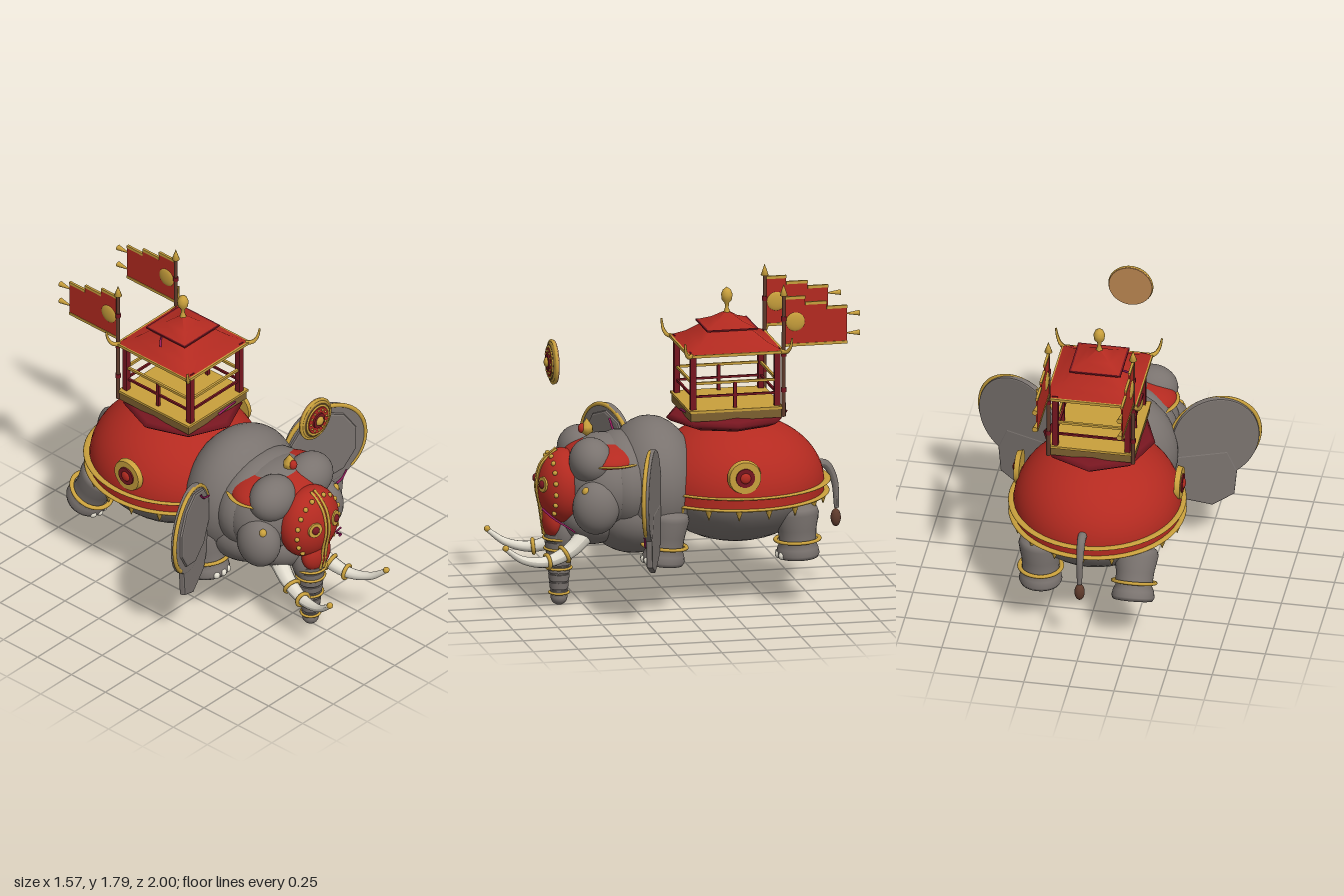
import * as THREE from 'three';

const mat = (name, color, side = THREE.FrontSide) =>
  Object.assign(new THREE.MeshStandardMaterial({ color, side }), { name });
const HIDE = mat('grey hide', 0x7a736f), DARK = mat('dark hide', 0x5a5552);
const RED = mat('red cloth', 0xb42a20, THREE.DoubleSide), MAROON = mat('maroon lacquer', 0x771620);
const GOLD = mat('gold', 0xc9a03c), IVORY = mat('ivory', 0xe2ddcf), TAN = mat('tan leather', 0xb98550);
const BROWN = mat('brown wood', 0x5f3b2c), BASE = mat('bronze wood', 0x7d6030), VINE = mat('magenta vine', 0x981c60);

const V = (x, y, z) => new THREE.Vector3(x, y, z);
function add(parent, name, geo, material, pos = [0, 0, 0], scale = [1, 1, 1], rot = [0, 0, 0]) {
  const m = new THREE.Mesh(geo, material);
  m.name = name;
  m.position.set(...pos); m.scale.set(...scale); m.rotation.set(...rot);
  parent.add(m);
  return m;
}
function group(parent, name, pos = [0, 0, 0], rot = [0, 0, 0]) {
  const g = new THREE.Group();
  g.name = name;
  g.position.set(...pos); g.rotation.set(...rot);
  parent.add(g);
  return g;
}
const BALL = new THREE.SphereGeometry(1, 32, 20), BEAD = new THREE.SphereGeometry(1, 10, 8);
const ball = (p, n, m, pos, r) => add(p, n, BALL, m, pos, r);
const bead = (p, n, m, pos, r) => add(p, n, BEAD, m, pos, [r, r, r]);
const box = (p, n, m, pos, size) => add(p, n, new THREE.BoxGeometry(...size), m, pos);
const cyl = (p, n, m, pos, r0, r1, h, seg = 24, rot) => add(p, n, new THREE.CylinderGeometry(r0, r1, h, seg), m, pos, undefined, rot);
const lathe = (pts, seg = 28, start = 0) => new THREE.LatheGeometry(pts.map(p => new THREE.Vector2(...p)), seg, start);
// horizontal elliptical ring; flat squashes it vertically
const hoop = (p, n, m, pos, rx, rz, t, flat = 1) => add(p, n, new THREE.TorusGeometry(1, t / rx, 8, 64), m, pos, [rx, rz, rx * flat], [Math.PI / 2, 0, 0]);

// tube whose radius runs from r0 to r1
function taper(points, r0, r1, seg = 24, rad = 12) {
  const curve = new THREE.CatmullRomCurve3(points.map(p => V(...p)));
  const geo = new THREE.TubeGeometry(curve, seg, 1, rad), pos = geo.attributes.position, v = V(0, 0, 0);
  for (let i = 0; i < pos.count; i++) {
    const t = Math.floor(i / (rad + 1)) / seg, c = curve.getPointAt(t);
    v.fromBufferAttribute(pos, i).sub(c).multiplyScalar(r0 + (r1 - r0) * t).add(c);
    pos.setXYZ(i, v.x, v.y, v.z);
  }
  geo.computeVertexNormals();
  return { geo, curve };
}

function buildBody(root) {
  const g = group(root, 'body');
  ball(g, 'belly', HIDE, [0, 0.66, -0.36], [0.45, 0.34, 0.475]);
  ball(g, 'shoulders', HIDE, [0, 0.66, 0.12], [0.36, 0.37, 0.26]);
  ball(g, 'chest', HIDE, [0, 0.51, 0.22], [0.3, 0.23, 0.26]);
  // red cover with flat hems, hanging points and side medallions
  add(g, 'cover', new THREE.SphereGeometry(1, 48, 18, 0, Math.PI * 2, 0, Math.PI / 2), RED, [0, 0.64, -0.36], [0.46, 0.37, 0.485]);
  add(g, 'coverSkirt', new THREE.CylinderGeometry(1, 1, 0.07, 48, 1, true), RED, [0, 0.615, -0.36], [0.462, 1, 0.483]);
  hoop(g, 'upperHem', GOLD, [0, 0.653, -0.37], 0.467, 0.49, 0.02, 0.3);
  hoop(g, 'lowerHem', GOLD, [0, 0.588, -0.365], 0.467, 0.488, 0.02, 0.4);
  for (let i = 0; i < 18; i++) {
    const a = (i + 0.5) / 18 * Math.PI * 2;
    if (Math.sin(a) < 0.8) cyl(g, 'hemPoint', GOLD, [0.463 * Math.cos(a), 0.557, -0.36 + 0.482 * Math.sin(a)], 0.021, 0.002, 0.055, 8);
  }
  for (const s of [1, -1]) {
    const m = group(g, 'medallion', [s * 0.445, 0.77, -0.31], [0, 0, -s * Math.PI / 2]);
    cyl(m, 'medallionDisc', GOLD, [0, 0, 0], 0.088, 0.095, 0.03, 32);
    cyl(m, 'medallionRing', MAROON, [0, 0.01, 0], 0.052, 0.055, 0.025, 24);
    ball(m, 'medallionBoss', RED, [0, 0.02, 0], [0.03, 0.015, 0.03]);
  }
  const tail = taper([[0, 0.71, -0.8], [0, 0.71, -0.86], [0, 0.62, -0.91], [0, 0.46, -0.925]], 0.026, 0.014);
  add(g, 'tail', tail.geo, HIDE);
  ball(g, 'tailTuft', BROWN, [0, 0.405, -0.92], [0.028, 0.05, 0.028]);
}

function buildLeg(root, name, x, y, z, tilt) {
  const g = group(root, name, [x, y, z], [tilt, 0, 0]);
  add(g, 'legColumn', lathe([[0, -0.28], [0.11, -0.28], [0.119, -0.26], [0.112, -0.225], [0.1, -0.2], [0.106, -0.12], [0.122, -0.03], [0.112, 0.0], [0.08, 0.02], [0, 0.04]]), HIDE);
  hoop(g, 'anklet', GOLD, [0, -0.18, 0], 0.115, 0.12, 0.013, 0.75);
  for (let i = -1; i <= 1; i++) {
    const a = i * 0.42;
    bead(g, 'toenail', IVORY, [0.106 * Math.sin(a), -0.26, 0.106 * Math.cos(a)], 0.022);
  }
}

function buildEar(side) {
  // plate runs outward and slightly forward from the head
  const g = group(side, 'ear', [0.325, 0, 0.14], [0, -0.36, 0]);
  const disc = new THREE.Shape().absellipse(0.24, 0.72, 0.235, 0.25, 0, Math.PI * 2);
  const lobe = new THREE.Shape([[-0.02, 0.62], [0.0, 0.5], [0.07, 0.35], [0.22, 0.295], [0.335, 0.35], [0.35, 0.5], [0.3, 0.62]].map(p => new THREE.Vector2(...p)));
  const panel = new THREE.Shape();
  for (let i = 0; i < 10; i++) {
    const a = (i + 0.5) / 10 * Math.PI * 2;
    panel[i ? 'lineTo' : 'moveTo'](0.225 + 0.2 * Math.cos(a), 0.72 + 0.21 * Math.sin(a));
  }
  const ext = (s, depth, b) => new THREE.ExtrudeGeometry(s, { depth, bevelEnabled: true, bevelSize: b, bevelThickness: b, bevelSegments: 2, curveSegments: 40 });
  add(g, 'earDisc', ext(disc, 0.02, 0.008), HIDE);
  add(g, 'earLobe', ext(lobe, 0.016, 0.01), HIDE);
  add(g, 'earPanel', ext(panel, 0.012, 0.012), HIDE, [0, 0, 0.018]);
  add(g, 'earRim', new THREE.TorusGeometry(0.242, 0.012, 8, 60, 3.7), GOLD, [0.24, 0.72, 0.02], [1, 1.05, 1], [0, 0, -0.85]);
}

function buildHead(root) {
  const g = group(root, 'head');
  ball(g, 'skull', HIDE, [0, 0.68, 0.38], [0.32, 0.27, 0.25]);
  ball(g, 'neck', HIDE, [0, 0.68, 0.29], [0.33, 0.28, 0.2]);
  ball(g, 'jaw', HIDE, [0, 0.5, 0.45], [0.23, 0.16, 0.19]);
  // red cap on the crown, with a gold hem
  add(g, 'cap', new THREE.SphereGeometry(1, 40, 12, 0, Math.PI * 2, 0, Math.PI / 2), RED, [0, 0.82, 0.39], [0.305, 0.115, 0.215]);
  hoop(g, 'capHem', GOLD, [0, 0.83, 0.38], 0.308, 0.225, 0.014, 0.4);
  // face mask and trunk flap
  ball(g, 'mask', RED, [0, 0.67, 0.615], [0.192, 0.21, 0.14]);
  ball(g, 'trunkFlap', RED, [0, 0.485, 0.67], [0.1, 0.105, 0.06]);
  for (const s of [1, -1]) {
    const stripe = taper([[s * 0.013, 0.88, 0.645], [s * 0.013, 0.8, 0.73], [s * 0.013, 0.68, 0.758], [s * 0.013, 0.56, 0.738], [s * 0.013, 0.4, 0.715]], 0.008, 0.008);
    add(g, 'maskStripe', stripe.geo, GOLD);
    for (let i = 0; i < 7; i++) {
      const a = -0.75 + i * 0.34;
      bead(g, 'maskBead', GOLD, [s * 0.168 * Math.cos(a), 0.67 + 0.184 * Math.sin(a), 0.683], 0.014);
    }
    const eye = group(g, 'eye', [s * 0.08, 0.7, 0.735], [Math.PI / 2 - 0.1, 0, -s * 0.3]);
    cyl(eye, 'eyePlate', GOLD, [0, 0, 0], 0.042, 0.046, 0.018);
    ball(eye, 'eyeGem', MAROON, [0, 0.009, 0], [0.023, 0.016, 0.023]);
  }
  // crown jewel
  add(g, 'crownJewel', lathe([[0, 0.94], [0.035, 0.965], [0.034, 0.995], [0.012, 1.025], [0, 1.045]], 12), GOLD, [0, 0, 0.475]);
  ball(g, 'crownGem', RED, [0, 0.985, 0.5], [0.024, 0.028, 0.024]);

  // ringed trunk
  const trunk = group(g, 'trunk', [0, 0, 0.63]);
  ball(trunk, 'trunkRoot', HIDE, [0, 0.42, -0.02], [0.1, 0.14, 0.08]);
  for (let i = 0; i < 8; i++) {
    const y = 0.065 + i * 0.046, r = 0.045 + i * 0.005;
    cyl(trunk, 'trunkRing', HIDE, [0, y, 0], r + 0.004, r, 0.037);
    cyl(trunk, 'trunkGroove', DARK, [0, y + 0.023, 0], r - 0.004, r - 0.004, 0.02);
  }
  ball(trunk, 'trunkTip', HIDE, [0, 0.045, 0], [0.046, 0.045, 0.046]);
  for (const [y, r] of [[0.07, 0.051], [0.21, 0.066], [0.32, 0.077], [0.38, 0.084]]) hoop(trunk, 'trunkBand', GOLD, [0, y, 0], r, r, 0.009, 0.8);

  // paired parts, mirrored
  for (const s of [1, -1]) {
    const side = group(g, s > 0 ? 'leftSide' : 'rightSide');
    side.scale.x = s;
    ball(side, 'browDome', HIDE, [0.15, 0.835, 0.485], [0.145, 0.13, 0.12]);
    ball(side, 'cheek', HIDE, [0.255, 0.6, 0.48], [0.11, 0.15, 0.13]);
    ball(side, 'templeStud', GOLD, [0.295, 0.7, 0.545], [0.022, 0.026, 0.022]);
    buildEar(side);
    const tusk = taper([[0.13, 0.41, 0.52], [0.15, 0.34, 0.6], [0.18, 0.29, 0.74], [0.21, 0.315, 0.88], [0.23, 0.385, 0.98]], 0.051, 0.013);
    add(side, 'tusk', tusk.geo, IVORY);
    bead(side, 'tuskTip', GOLD, [0.23, 0.39, 0.98], 0.018);
    for (const [t, r] of [[0.28, 0.045], [0.48, 0.038]]) {
      const ring = add(side, 'tuskBand', new THREE.TorusGeometry(r, 0.011, 8, 24), GOLD, tusk.curve.getPointAt(t).toArray());
      ring.quaternion.setFromUnitVectors(V(0, 0, 1), tusk.curve.getTangentAt(t));
    }
  }
}

function buildTower(root) {
  const g = group(root, 'tower', [0, 0, -0.31]);
  add(g, 'cushion', lathe([[0, 0.96], [0.26, 0.98], [0.31, 1.0], [0.335, 1.02], [0.31, 1.04], [0.25, 1.055], [0, 1.055]], 8), MAROON, [0, 0, 0], [0.93, 1, 1.02]);
  box(g, 'base', BASE, [0, 1.07, 0], [0.47, 0.05, 0.51]);
  box(g, 'floor', GOLD, [0, 1.1, 0], [0.485, 0.014, 0.525]);
  const hx = 0.2, hz = 0.235;
  for (const x of [1, -1]) {
    box(g, 'sideHandrail', GOLD, [x * hx, 1.252, 0], [0.014, 0.014, 2 * hz]);
    box(g, 'sideRail', MAROON, [x * hx, 1.178, 0], [0.012, 0.012, 2 * hz]);
    box(g, 'railPost', MAROON, [x * hx, 1.175, 0], [0.018, 0.15, 0.018]);
    box(g, 'endHandrail', GOLD, [0, 1.252, x * hz], [2 * hx, 0.014, 0.014]);
    box(g, 'endRail', MAROON, [0, 1.178, x * hz], [2 * hx, 0.012, 0.012]);
    box(g, 'sideEave', GOLD, [x * 0.245, 1.415, 0], [0.016, 0.016, 0.535]);
    box(g, 'endEave', GOLD, [0, 1.415, x * 0.26], [0.505, 0.016, 0.016]);
    for (const z of [1, -1]) {
      box(g, 'post', MAROON, [x * hx, 1.265, z * hz], [0.032, 0.33, 0.032]);
      const horn = taper([[x * 0.235, 1.415, z * 0.25], [x * 0.265, 1.42, z * 0.277], [x * 0.283, 1.45, z * 0.293], [x * 0.295, 1.505, z * 0.3]], 0.014, 0.005, 14, 8);
      add(g, 'eaveHorn', horn.geo, GOLD);
    }
  }
  // two-tier roof, square in plan, with a gold lining facing down
  const tier = pts => lathe(pts.map(([r, y]) => [r * Math.SQRT2, y]), 4, Math.PI / 4);
  add(g, 'lowerRoof', tier([[0.25, 1.42], [0.18, 1.458], [0.1, 1.525]]), RED, [0, 0, 0], [1, 1, 1.05]);
  add(g, 'roofLining', tier([[0, 1.517], [0.1, 1.515], [0.18, 1.448], [0.25, 1.411]]), GOLD, [0, 0, 0], [1, 1, 1.05]);
  add(g, 'upperRoof', tier([[0.14, 1.527], [0.07, 1.558], [0.004, 1.605]]), RED);
  box(g, 'upperEave', MAROON, [0, 1.526, 0], [0.286, 0.008, 0.286]);
  add(g, 'finial', lathe([[0.02, 1.59], [0.01, 1.62], [0.012, 1.645], [0.028, 1.665], [0.032, 1.695], [0.022, 1.72], [0, 1.737]], 16), GOLD);
}

function buildFlag(root, x) {
  const g = group(root, 'flag', [x, 0, -0.575]);
  cyl(g, 'flagPole', BROWN, [0, 1.395, 0], 0.01, 0.012, 0.69, 10);
  for (const y of [1.2, 1.4, 1.6]) cyl(g, 'poleKnot', MAROON, [0, y, 0], 0.015, 0.015, 0.025, 10);
  add(g, 'spearHead', lathe([[0, 1.725], [0.022, 1.73], [0.01, 1.765], [0, 1.795]], 12), GOLD);
  const steps = [[0.01, 0.12, 1.715], [0.12, 0.24, 1.68], [0.24, 0.355, 1.65]];
  for (const [a, b, top] of steps) {
    box(g, 'flagCloth', RED, [0, (top + 1.45) / 2, -(a + b) / 2], [0.008, top - 1.45, b - a]);
    box(g, 'flagTopTrim', GOLD, [0, top, -(a + b) / 2], [0.014, 0.016, b - a]);
  }
  box(g, 'flagBottomTrim', GOLD, [0, 1.45, -0.18], [0.014, 0.016, 0.35]);
  ball(g, 'flagDisc', GOLD, [0, 1.58, -0.065], [0.014, 0.055, 0.055]);
  for (const y of [1.5, 1.61]) cyl(g, 'tassel', GOLD, [0, y, -0.39], 0.004, 0.016, 0.07, 10, [Math.PI / 2, 0, 0]);
}

function buildShield(root) {
  // round shield floating ahead of the tower, facing forward
  const g = group(root, 'shield', [0, 1.368, 0.655], [Math.PI / 2, 0, 0]);
  cyl(g, 'shieldBack', TAN, [0, 0.003, 0], 0.122, 0.12, 0.01, 40);
  add(g, 'shieldPlate', lathe([[0, 0.004], [0.118, 0.004], [0.122, 0.012], [0.1, 0.026], [0, 0.03]], 40), GOLD);
  hoop(g, 'shieldRim', GOLD, [0, 0.012, 0], 0.116, 0.116, 0.009);
  cyl(g, 'shieldGroove', BASE, [0, 0.024, 0], 0.098, 0.108, 0.01, 40);
  hoop(g, 'shieldInnerRing', GOLD, [0, 0.028, 0], 0.086, 0.086, 0.007);
  cyl(g, 'shieldField', RED, [0, 0.028, 0], 0.078, 0.083, 0.014, 36);
  for (let i = 0; i < 12; i++) bead(g, 'shieldBead', GOLD, [0.063 * Math.cos(i * Math.PI / 6), 0.036, 0.063 * Math.sin(i * Math.PI / 6)], 0.007);
  cyl(g, 'shieldHub', MAROON, [0, 0.035, 0], 0.044, 0.048, 0.016, 28);
  ball(g, 'shieldBoss', GOLD, [0, 0.042, 0], [0.028, 0.018, 0.028]);
}

export function createModel() {
  const root = new THREE.Group();
  root.name = 'paradeElephant';
  buildBody(root);
  buildHead(root);
  buildLeg(root, 'frontLeftLeg', 0.26, 0.545, 0.08, -0.1);
  buildLeg(root, 'frontRightLeg', -0.265, 0.52, 0.08, -0.15);
  buildLeg(root, 'rearLeftLeg', 0.265, 0.545, -0.64, 0.03);
  buildLeg(root, 'rearRightLeg', -0.27, 0.54, -0.65, 0.5);
  buildTower(root);
  for (const x of [0.235, -0.235]) buildFlag(root, x);
  buildShield(root);
  // thin trailing vines
  const vines = [
    [[0.1, 0.57, 0.745], [0.17, 0.53, 0.7], [0.22, 0.48, 0.62], [0.28, 0.47, 0.6]],
    [[0.6, 0.45, 0.28], [0.63, 0.47, 0.29], [0.66, 0.52, 0.3]],
    [[-0.47, 0.91, 0.24], [-0.43, 0.86, 0.23], [-0.36, 0.83, 0.21]],
    [[0, 1.062, -0.05], [0.07, 1.07, -0.05], [0.14, 1.075, -0.05]],
    [[-0.17, 1.47, -0.32], [-0.15, 1.49, -0.34], [-0.13, 1.505, -0.35]],
  ];
  for (const p of vines) add(root, 'vine', taper(p, 0.007, 0.005, 12, 6).geo, VINE);
  return root;
}
